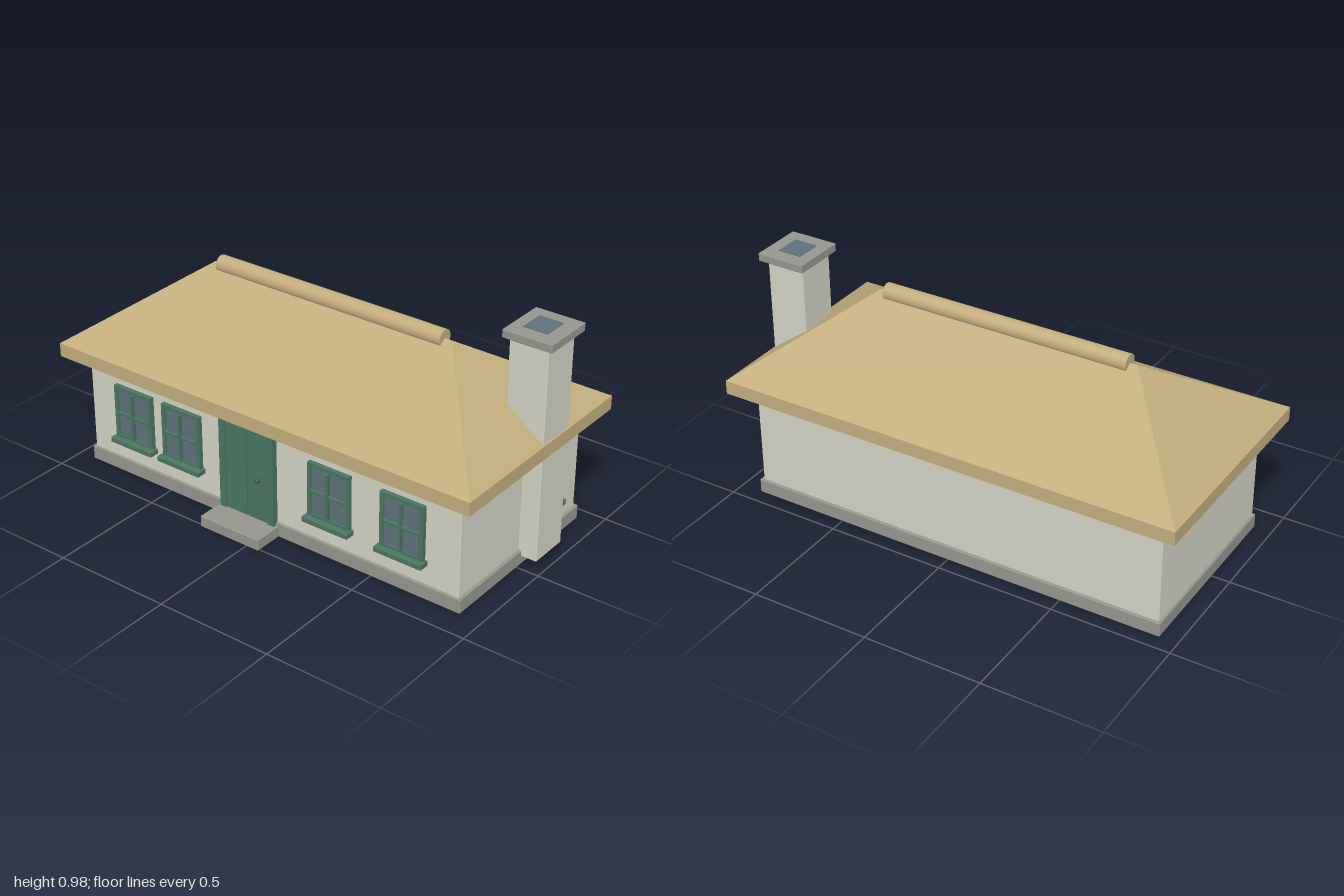
import * as THREE from 'three';
import { RoundedBoxGeometry } from 'three/addons/geometries/RoundedBoxGeometry.js';

const mat = (name, color) => {
  const m = new THREE.MeshStandardMaterial({ color });
  m.name = name;
  return m;
};

export function createModel() {
  const plaster = mat('plaster', 0xd2d2c5);
  const thatch = mat('thatch', 0xc2ad7d);
  const stone = mat('stone', 0x94968e);
  const green = mat('green paint', 0x4a7561);
  const glass = mat('glass', 0x5f717a);
  const metal = mat('dark metal', 0x46504e);

  const house = new THREE.Group();
  house.name = 'cottage';

  const add = (parent, name, geometry, material) => {
    const mesh = new THREE.Mesh(geometry, material);
    mesh.name = name;
    parent.add(mesh);
    return mesh;
  };
  // Box given by its limits on each axis, with an optional small edge rounding
  const block = (parent, name, material, [x0, x1], [y0, y1], [z0, z1], r = 0) => {
    const size = [x1 - x0, y1 - y0, z1 - z0];
    const g = r ? new RoundedBoxGeometry(...size, 2, r) : new THREE.BoxGeometry(...size);
    g.translate((x0 + x1) / 2, (y0 + y1) / 2, (z0 + z1) / 2);
    return add(parent, name, g, material);
  };

  // Walls, plinth and doorstep
  block(house, 'walls', plaster, [-0.915, 0.893], [0.03, 0.5], [-0.428, 0.377], 0.005);
  block(house, 'plinth', stone, [-0.925, 0.906], [0, 0.062], [-0.439, 0.386], 0.005);
  block(house, 'doorstep', stone, [-0.23, 0.06], [0, 0.05], [0.36, 0.513], 0.005);

  // Hipped roof: eaves box whose upper part is drawn in to a ridge line
  const cx = -0.011, cz = -0.026;
  block(house, 'eaves', thatch, [-1, 0.978], [0.485, 0.543], [-0.512, 0.46]);
  const hip = new THREE.BoxGeometry(1.978, 0.304, 0.972).toNonIndexed();
  const p = hip.attributes.position;
  for (let i = 0; i < p.count; i++) {
    if (p.getY(i) > 0) p.setXYZ(i, Math.sign(p.getX(i)) * 0.57, p.getY(i), 0);
  }
  hip.computeVertexNormals();
  hip.translate(cx, 0.543 + 0.152, cz);
  add(house, 'hippedRoof', hip, thatch);
  const ridge = new THREE.CylinderGeometry(0.036, 0.036, 1.08, 24).rotateZ(Math.PI / 2);
  add(house, 'ridgeRoll', ridge.translate(cx, 0.846, cz), thatch);

  // Chimney
  const chimney = new THREE.Group();
  chimney.name = 'chimney';
  house.add(chimney);
  block(chimney, 'chimneyStack', plaster, [0.807, 0.973], [0.037, 0.945], [-0.202, -0.026], 0.004);
  block(chimney, 'chimneyCap', stone, [0.789, 1], [0.941, 0.976], [-0.228, 0], 0.004);
  block(chimney, 'flue', glass, [0.84, 0.942], [0.972, 0.979], [-0.17, -0.06]);

  // Window built facing +z with the wall at z = 0 and its centre at y = 0
  const makeWindow = (x, y, z, turn = 0) => {
    const w = new THREE.Group();
    w.name = 'window';
    for (const s of [-1, 1]) {
      const side = [s * 0.098, s * 0.08].sort((a, b) => a - b);
      const rail = [s * 0.12, s * 0.102].sort((a, b) => a - b);
      block(w, 'windowStile', green, side, [-0.12, 0.12], [-0.01, 0.019]);
      block(w, 'windowRail', green, [-0.08, 0.08], rail, [-0.01, 0.019]);
    }
    block(w, 'pane', glass, [-0.081, 0.081], [-0.103, 0.103], [-0.005, 0.012]);
    block(w, 'mullion', green, [-0.005, 0.005], [-0.102, 0.102], [0.01, 0.03]);
    block(w, 'transom', green, [-0.08, 0.08], [-0.005, 0.005], [0.01, 0.025]);
    block(w, 'sill', green, [-0.108, 0.108], [-0.136, -0.113], [-0.01, 0.043], 0.003);
    w.position.set(x, y, z);
    w.rotation.y = turn;
    house.add(w);
  };
  for (const x of [-0.677, -0.425, 0.307, 0.644]) makeWindow(x, 0.28, 0.377);
  makeWindow(0.893, 0.287, -0.18, Math.PI / 2);

  // Door with frame, two boards and a knob
  const door = new THREE.Group();
  door.name = 'door';
  house.add(door);
  block(door, 'leftJamb', green, [0.02, 0.048], [0.05, 0.475], [0.36, 0.403]);
  block(door, 'rightJamb', green, [-0.219, -0.191], [0.05, 0.475], [0.36, 0.403]);
  block(door, 'lintel', green, [-0.191, 0.02], [0.447, 0.475], [0.36, 0.403]);
  block(door, 'doorBacking', green, [-0.191, 0.02], [0.05, 0.447], [0.36, 0.388]);
  block(door, 'rightBoard', green, [-0.189, -0.088], [0.05, 0.442], [0.37, 0.396]);
  block(door, 'leftBoard', green, [-0.083, 0.018], [0.05, 0.442], [0.37, 0.396]);
  add(door, 'knob', new THREE.SphereGeometry(0.011, 16, 12).translate(-0.025, 0.234, 0.407), metal);

  return house;
}
